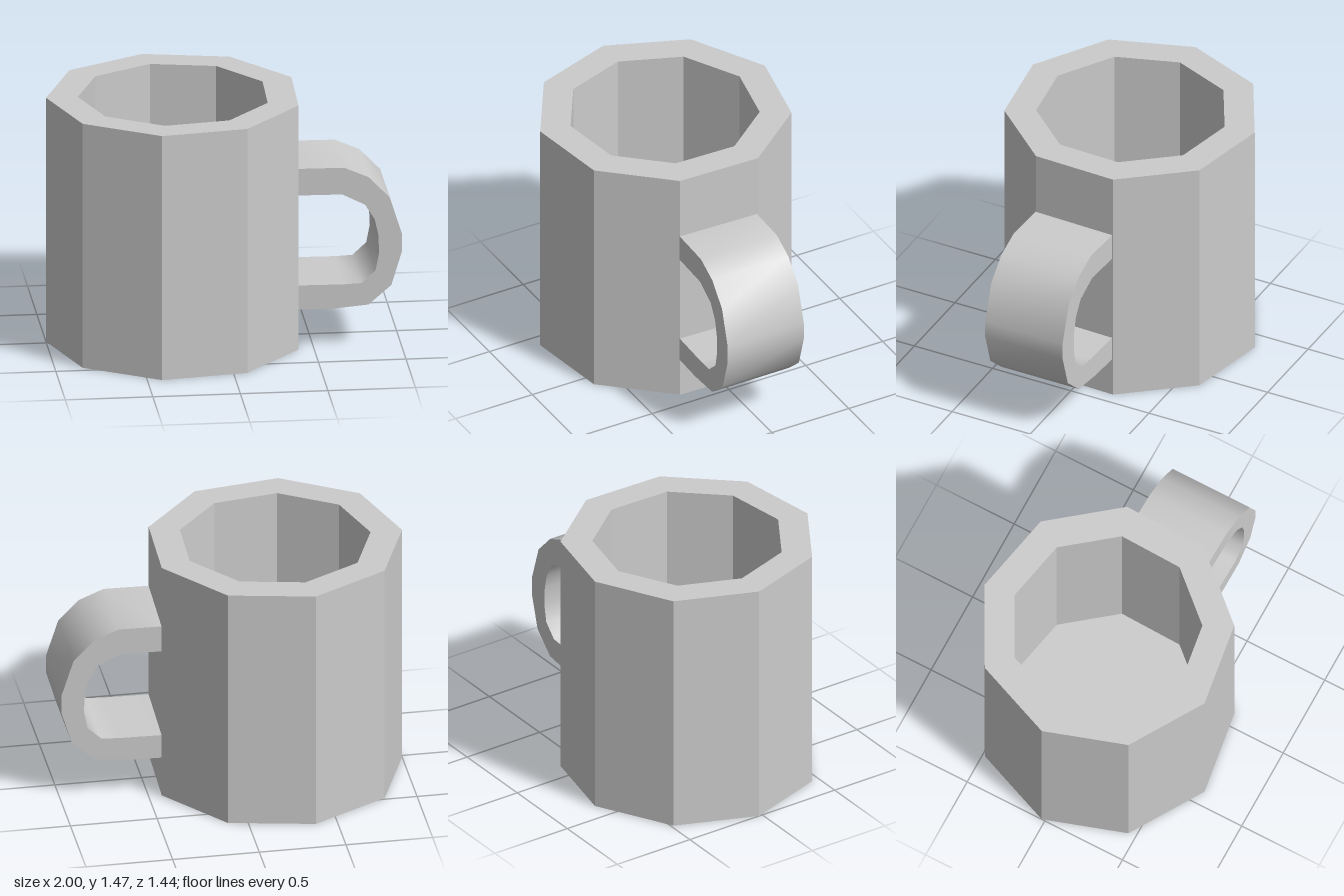
import * as THREE from 'three';
import { toCreasedNormals } from 'three/addons/utils/BufferGeometryUtils.js';

const material = (flatShading) => new THREE.MeshStandardMaterial({ color: 0xcccccc, flatShading });

// Nine-sided cup: base, outer wall, rim, inner wall and floor in one profile
function makeCup() {
  const R = 0.731, r = 0.55, height = 1.465, floor = 0.18;
  const profile = [[0, 0], [R, 0], [R, height], [r, height], [r, floor], [0, floor]]
    .map(([x, y]) => new THREE.Vector2(x, y));
  const geometry = new THREE.LatheGeometry(profile, 9, -Math.PI / 2 - 0.028).toNonIndexed();
  geometry.computeVertexNormals();
  const cup = new THREE.Mesh(geometry, material(true));
  cup.name = 'cup';
  cup.position.x = -0.269;
  return cup;
}

// Wide D-shaped handle, smooth around the loop with sharp side edges
function makeHandle() {
  const outer = [[0.4, 0.24], [0.6, 0.24], [0.81, 0.26], [0.94, 0.375], [1, 0.575],
    [1, 0.68], [0.93, 0.9], [0.81, 1.025], [0.67, 1.085], [0.4, 1.085]];
  const inner = [[0.4, 0.925], [0.66, 0.925], [0.79, 0.86], [0.845, 0.77], [0.865, 0.68],
    [0.87, 0.57], [0.85, 0.465], [0.77, 0.39], [0.67, 0.385], [0.4, 0.385]];
  const shape = new THREE.Shape([...outer, ...inner].map(([x, y]) => new THREE.Vector2(x, y)));
  const geometry = new THREE.ExtrudeGeometry(shape, { depth: 0.495, bevelEnabled: false });
  geometry.translate(0, 0, -0.225);
  // Follow the slight turn of the cup side
  const p = geometry.attributes.position;
  for (let i = 0; i < p.count; i++) p.setZ(i, p.getZ(i) + (p.getX(i) - 0.41) * 0.03);
  const handle = new THREE.Mesh(toCreasedNormals(geometry, 0.9), material(false));
  handle.name = 'handle';
  return handle;
}

export function createModel() {
  const mug = new THREE.Group();
  mug.name = 'mug';
  mug.add(makeCup(), makeHandle());
  return mug;
}
